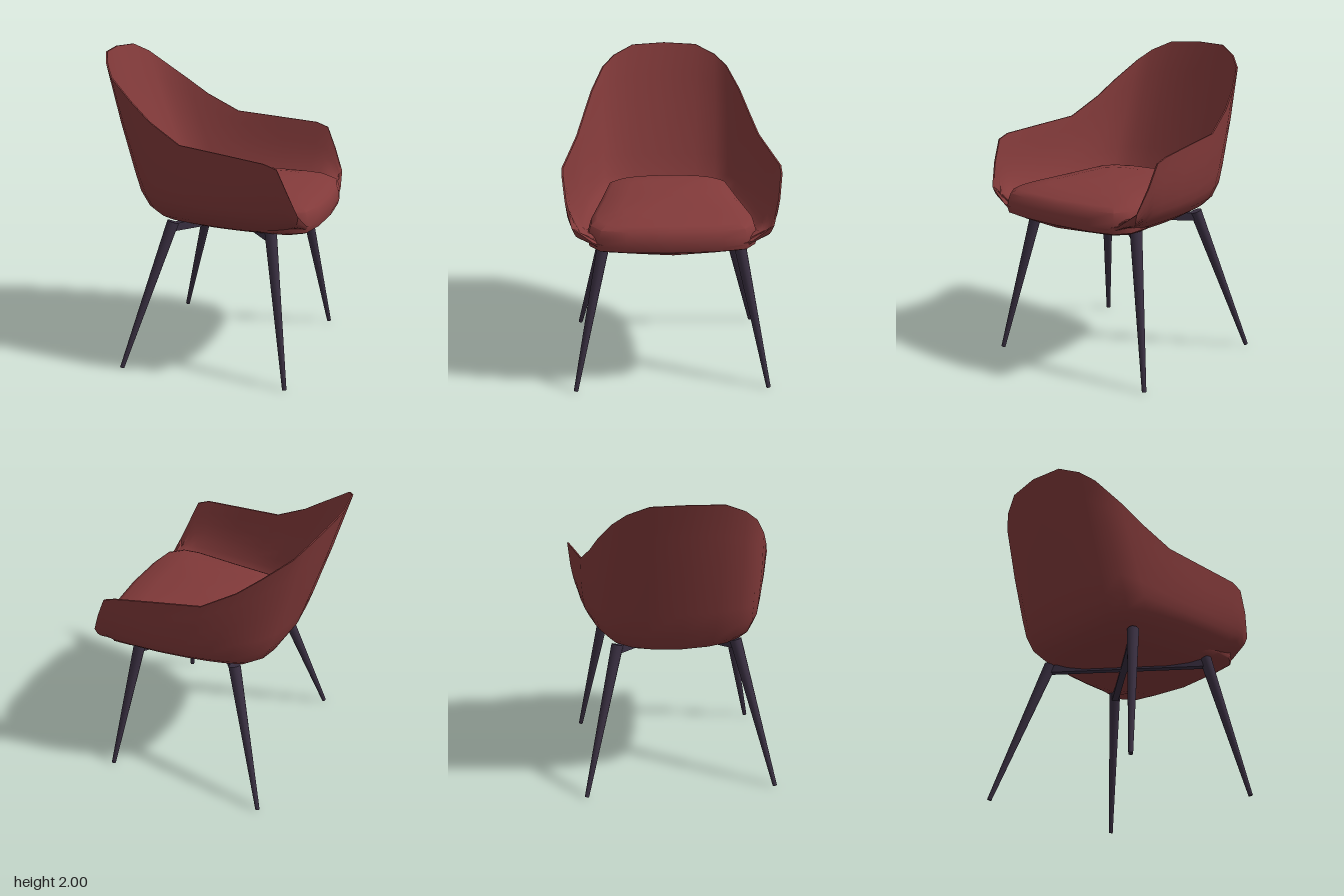
import * as THREE from 'three';
import { toCreasedNormals } from 'three/addons/utils/BufferGeometryUtils.js';

const fabric = new THREE.MeshStandardMaterial({ color: 0x823a3a });
const metal = new THREE.MeshStandardMaterial({ color: 0x3a3042 });
const V = (x, y, z) => new THREE.Vector3(x, y, z);

// Completes a half loop (back centre to front centre, z >= 0) by mirroring it.
function mirrorLoop(half, flip) {
  return [...half, ...half.slice(1, -1).reverse().map(flip)];
}

// Skins closed loops: columns run around, each column is a list of points.
function skin(columns, crease) {
  const n = columns.length, rows = columns[0].length, index = [];
  for (let i = 0; i < n; i++) {
    for (let j = 0; j < rows - 1; j++) {
      const a = i * rows + j, b = ((i + 1) % n) * rows + j;
      index.push(a, b, b + 1, a, b + 1, a + 1);
    }
  }
  const geo = new THREE.BufferGeometry().setFromPoints(columns.flat());
  geo.setIndex(index);
  return toCreasedNormals(geo, crease);
}

function addMesh(parent, name, geo, mat) {
  const mesh = new THREE.Mesh(geo, mat);
  mesh.name = name;
  parent.add(mesh);
  return mesh;
}

// Bucket shell: each station holds a rim point and the knee point below it.
function shellGeometry() {
  const rim = [
    [-0.74, 2, 0], [-0.715, 1.99, 0.22], [-0.655, 1.93, 0.35], [-0.59, 1.86, 0.43],
    [-0.43, 1.73, 0.505], [-0.29, 1.62, 0.55], [-0.08, 1.5, 0.6], [0.2, 1.47, 0.635],
    [0.47, 1.44, 0.67], [0.55, 1.41, 0.667], [0.61, 1.27, 0.65], [0.67, 1.12, 0.61],
    [0.69, 1.03, 0.48], [0.71, 0.985, 0.28], [0.715, 0.965, 0],
  ];
  const knee = [
    [-0.41, 1, 0], [-0.4, 1.01, 0.2], [-0.38, 1.03, 0.34], [-0.31, 1.04, 0.44],
    [-0.2, 1.05, 0.49], [-0.08, 1.05, 0.52], [0.08, 1.05, 0.55], [0.26, 1.05, 0.57],
    [0.43, 1.05, 0.58], [0.5, 1.05, 0.58], [0.55, 1.04, 0.57], [0.6, 1.02, 0.53],
    [0.63, 0.98, 0.4], [0.65, 0.955, 0.25], [0.66, 0.945, 0],
  ];
  const centre = V(0.08, 0.905, 0), steps = 12;
  const half = rim.map((r, i) => {
    const top = V(...r), k = V(...knee[i]);
    const low = centre.clone().lerp(k, 0.62);
    low.y = centre.y + 0.12 * (k.y - centre.y);
    const mid = k.clone().lerp(top, 0.4).multiply(V(1.04, 1, 1.04));
    return new THREE.CatmullRomCurve3([centre, low, k, mid, top]).getPoints(steps);
  });
  const outer = mirrorLoop(half, (col) => col.map((p) => V(p.x, p.y, -p.z)));
  const n = outer.length;

  // Inner face: the outer face moved inward, padding thinning towards the rim.
  const columns = outer.map((col, i) => {
    const next = outer[(i + 1) % n], prev = outer[(i + n - 1) % n];
    const inner = col.map((p, j) => {
      const along = col[Math.min(j + 1, steps)].clone().sub(col[Math.max(j - 1, 0)]);
      const around = next[j].clone().sub(prev[j]);
      const normal = j === 0 ? V(0, 1, 0) : along.cross(around).normalize();
      const thickness = 0.01 + 0.04 * Math.min(1, (steps - j) / 5);
      const q = p.clone().addScaledVector(normal, thickness);
      if (j === steps && normal.y < 0.5) q.y = Math.min(q.y, p.y);
      return q;
    });
    return [...col, ...inner.reverse()];
  });
  return skin(columns, 0.7);
}

// Padded seat cushion: one outline, scaled through a few levels.
function cushionGeometry() {
  const outline = [
    [-0.3, 0], [-0.28, 0.22], [-0.24, 0.33], [-0.18, 0.4], [0.15, 0.455], [0.48, 0.515],
    [0.6, 0.515], [0.69, 0.45], [0.725, 0.28], [0.74, 0],
  ];
  const loop = mirrorLoop(outline, ([x, z]) => [x, -z]);
  // scale, height at the back, height at the front
  const levels = [
    [0, 0.95, 0.95], [0.92, 0.96, 0.96], [0.985, 1.0, 0.975], [1, 1.08, 1.005],
    [0.995, 1.12, 1.05], [0.965, 1.16, 1.1], [0.89, 1.18, 1.125],
    [0.6, 1.195, 1.155], [0.3, 1.195, 1.175], [0, 1.19, 1.19],
  ];
  const columns = loop.map(([x, z]) => levels.map(([s, back, front]) => {
    const t = (x + 0.3) / 1.04;
    return V(0.22 + (x - 0.22) * s, back + (front - back) * t, z * s);
  }));
  return skin(columns, 0.8);
}

// Aligns a y-axis part between two points.
function span(mesh, a, b) {
  mesh.position.copy(a).add(b).multiplyScalar(0.5);
  mesh.quaternion.setFromUnitVectors(V(0, 1, 0), b.clone().sub(a).normalize());
}

export function createModel() {
  const chair = new THREE.Group();
  chair.name = 'armchair';
  addMesh(chair, 'seatShell', shellGeometry(), fabric);
  addMesh(chair, 'seatCushion', cushionGeometry(), fabric);

  // Splayed, tapered legs
  const base = new THREE.Group();
  base.name = 'legFrame';
  chair.add(base);
  for (const side of [1, -1]) {
    const legs = [
      ['rearLeg', V(-0.48, 0.006, 0.62 * side), V(-0.205, 0.95, 0.385 * side)],
      ['frontLeg', V(0.605, 0.004, 0.615 * side), V(0.45, 0.96, 0.42 * side)],
    ];
    for (const [name, foot, top] of legs) {
      const geo = new THREE.CylinderGeometry(0.039, 0.014, foot.distanceTo(top), 12);
      span(addMesh(base, name, geo, metal), foot, top);
    }
    // Diagonal bar joining a rear leg to the opposite front leg
    const dx = 0.655, dz = 0.805 * side;
    const bar = addMesh(base, 'crossBar',
      new THREE.BoxGeometry(Math.hypot(dx, dz), 0.05, 0.045), metal);
    bar.position.set(0.1225, 0.917, -0.0175 * side);
    bar.rotation.y = Math.atan2(dz, dx);
  }
  return chair;
}
